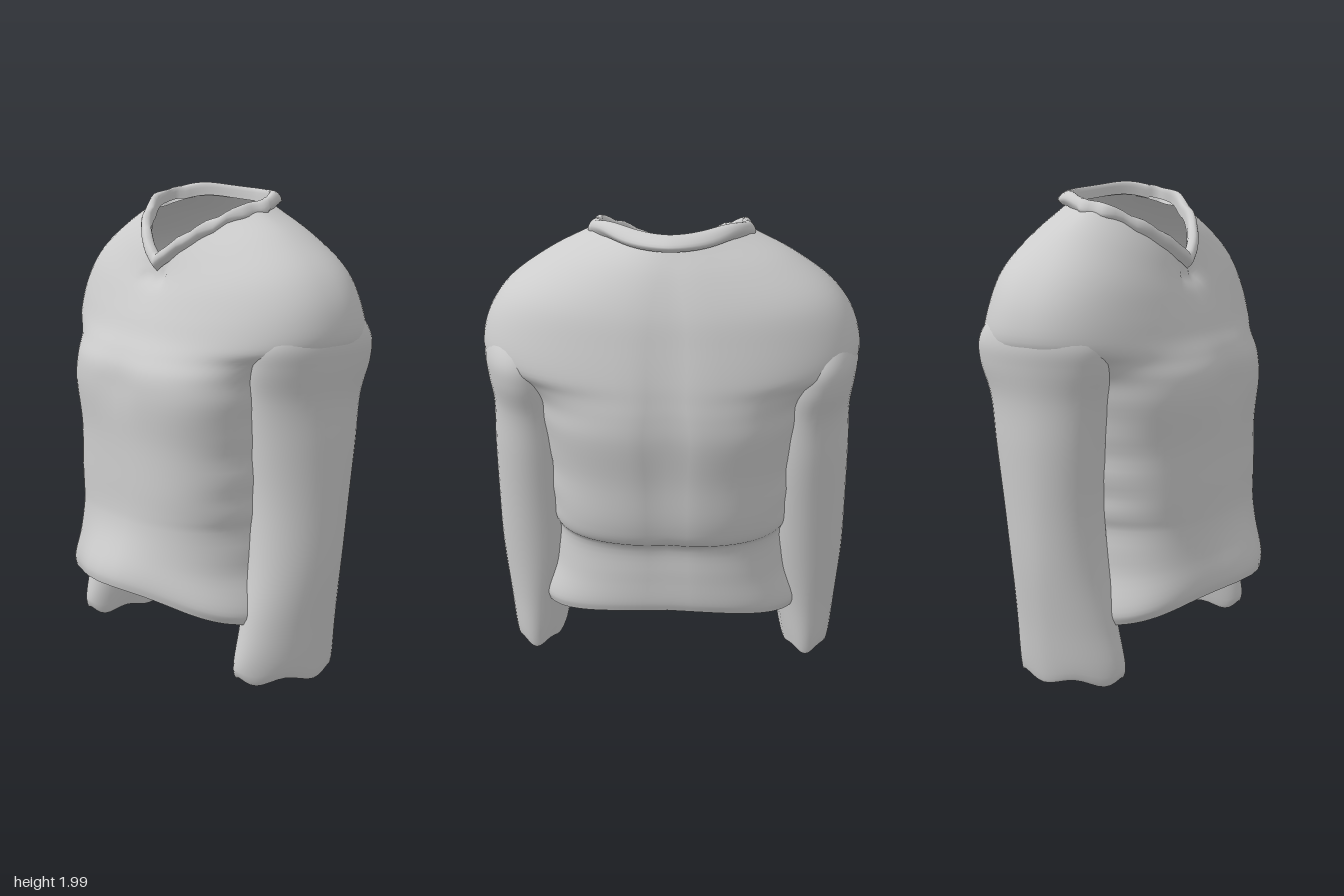
import * as THREE from 'three';

const knit = new THREE.MeshStandardMaterial({ color: 0xcccccc, side: THREE.DoubleSide });
knit.name = 'lightGreyKnit';

// One point of a rounded cross-section. r: half width w, centre x/z, front and back z,
// heights at front / side / back, squareness n, and how sharply height bends (p: 1 = V shape).
function ringPoint(r, a) {
  const c = Math.cos(a), s = Math.sin(a), e = 2 / r.n;
  const u = Math.pow(Math.abs(c), e), v = Math.pow(Math.abs(s), e);
  const reach = s >= 0 ? r.zF - r.zc : r.zB - r.zc;
  const yMid = s >= 0 ? r.yF : r.yB;
  const k = Math.pow(u, s >= 0 ? r.p : 2);
  return new THREE.Vector3((r.cx || 0) + Math.sign(c) * u * r.w, yMid + (r.yS - yMid) * k, r.zc + reach * v);
}

// Skin a smooth open tube through the rings, bottom to top
function loft(name, rings, segs, rows, shape) {
  const pos = [], idx = [];
  const curves = [];
  for (let j = 0; j < segs; j++) {
    const a = (j / segs) * Math.PI * 2;
    curves.push(new THREE.CatmullRomCurve3(rings.map((r) => ringPoint(r, a))));
  }
  for (let i = 0; i <= rows; i++) {
    for (let j = 0; j < segs; j++) {
      const p = curves[j].getPoint(i / rows);
      shape(p, (j / segs) * Math.PI * 2);
      pos.push(p.x, p.y, p.z);
      if (i < rows) {
        const a = i * segs + j, b = i * segs + ((j + 1) % segs);
        idx.push(a, a + segs, b, b, a + segs, b + segs);
      }
    }
  }
  const g = new THREE.BufferGeometry();
  g.setAttribute('position', new THREE.Float32BufferAttribute(pos, 3));
  g.setIndex(idx);
  g.computeVertexNormals();
  const m = new THREE.Mesh(g, knit);
  m.name = name;
  return m;
}

const ring = (yF, yS, yB, w, zc, zF, zB, n = 2, p = 2) => ({ yF, yS, yB, w, zc, zF, zB, n, p });
const flat = (y, ...rest) => ring(y, y, y, ...rest);
const bell = (d, s) => Math.exp(-((d / s) ** 2));

function makeBody() {
  const rings = [
    // flared hem, dipping at the sides
    ring(0.37, 0.25, 0.33, 0.57, 0.03, 0.46, -0.42, 2.8),
    ring(0.41, 0.29, 0.37, 0.58, 0.03, 0.465, -0.43, 2.8),
    ring(0.52, 0.45, 0.5, 0.525, 0.0, 0.46, -0.43, 2.8),
    // waist, with a fold hanging over at the back
    flat(0.64, 0.505, -0.02, 0.455, -0.435, 2.8),
    flat(0.69, 0.51, -0.02, 0.455, -0.495, 2.8),
    flat(0.78, 0.52, -0.02, 0.455, -0.522, 2.8),
    // chest
    flat(0.98, 0.53, -0.02, 0.452, -0.535, 2.8),
    flat(1.18, 0.56, -0.02, 0.46, -0.555, 2.9),
    flat(1.28, 0.585, -0.04, 0.45, -0.55, 2.7),
    // widening into the shoulders
    flat(1.35, 0.66, -0.08, 0.415, -0.54, 2.4),
    flat(1.42, 0.778, -0.1, 0.37, -0.527, 2.25),
    ring(1.50, 1.56, 1.56, 0.77, -0.1, 0.33, -0.49, 2.25, 1.6),
    ring(1.57, 1.70, 1.69, 0.69, -0.1, 0.29, -0.45, 2.25, 1.3),
    ring(1.63, 1.84, 1.83, 0.51, -0.08, 0.25, -0.38, 2.0, 1.1),
    // neckline
    ring(1.69, 1.94, 1.94, 0.315, -0.05, 0.225, -0.3, 1.65, 1),
  ];
  return loft('body', rings, 80, 75, (p, a) => {
    const s = Math.sin(a);
    // spine groove
    if (s < 0) p.z += 0.025 * bell(p.x, 0.07) * bell(p.y - 1.15, 0.6);
    if (s > 0) {
      // hem bulging forward in the middle
      p.z += 0.095 * bell(p.x, 0.25) * bell(p.y - 0.38, 0.17);
      // soft hollow between the sides of the chest, pucker below the V
      p.z -= 0.015 * bell(p.x, 0.1) * bell(p.y - 1.22, 0.12);
      p.z -= 0.02 * bell(Math.abs(p.x) - 0.04, 0.02) * bell(p.y - 1.66, 0.05);
    }
    // wrinkled side seams
    p.x += Math.sign(p.x) * 0.006 * Math.sin(p.y * 38) * Math.cos(a) ** 6 * bell(p.y - 0.8, 0.3);
  });
}

function makeSleeve(side) {
  // [y, inner x, outer x, front z, back z]
  const rows = [
    [0.09, 0.52, 0.68, 0.2, -0.19],
    [0.025, 0.50, 0.70, 0.225, -0.215],
    [0.06, 0.49, 0.712, 0.24, -0.225],
    [0.25, 0.455, 0.73, 0.20, -0.24],
    [0.5, 0.41, 0.75, 0.15, -0.265],
    [0.75, 0.40, 0.755, 0.13, -0.295],
    [1.0, 0.40, 0.758, 0.143, -0.33],
    [1.2, 0.41, 0.757, 0.165, -0.355],
    [1.34, 0.43, 0.776, 0.19, -0.392],
    [1.43, 0.44, 0.783, 0.19, -0.39],
    [1.52, 0.48, 0.76, 0.13, -0.33],
    [1.62, 0.55, 0.69, 0.0, -0.2],
  ];
  const rings = rows.map(([y, x0, x1, zF, zB]) => ({
    ...flat(y, (x1 - x0) / 2, (zF + zB) / 2, zF, zB, 2), cx: side * (x0 + x1) / 2,
  }));
  return loft(side > 0 ? 'leftSleeve' : 'rightSleeve', rings, 40, 60, (p, a) => {
    // front of the arm turned inwards towards the cuff
    p.x -= side * 0.16 * Math.max(0, p.z + 0.05) * (1 - p.y / 1.7);
    // uneven cuff edge
    p.y = Math.max(0, p.y + bell(p.y - 0.03, 0.05) * (0.013 * Math.sin(a * 5) - 0.008));
  });
}

function makeCollar() {
  const rings = [
    ring(1.67, 1.90, 1.92, 0.325, -0.05, 0.235, -0.335, 1.65, 1),
    ring(1.70, 1.935, 1.945, 0.342, -0.05, 0.262, -0.36, 1.65, 1),
    ring(1.735, 1.965, 1.97, 0.325, -0.05, 0.25, -0.33, 1.65, 1),
    ring(1.735, 1.96, 1.975, 0.302, -0.05, 0.22, -0.293, 1.65, 1),
    ring(1.69, 1.91, 1.92, 0.298, -0.05, 0.205, -0.285, 1.65, 1),
  ];
  return loft('collar', rings, 72, 14, (p, a) => {
    // raised back corners and a slightly crumpled front
    if (p.z < 0) p.y += 0.027 * bell(p.z + 0.19, 0.09);
    const side = Math.abs(Math.cos(a));
    if (p.z > -0.1) {
      p.y += 0.008 * Math.sin(Math.abs(p.x) * 70) * side;
      p.x *= 1 + 0.025 * Math.sin(p.z * 55) * side;
    }
  });
}

export function createModel() {
  const top = new THREE.Group();
  top.name = 'sweater';
  top.add(makeBody(), makeCollar());
  for (const side of [1, -1]) top.add(makeSleeve(side));
  return top;
}
